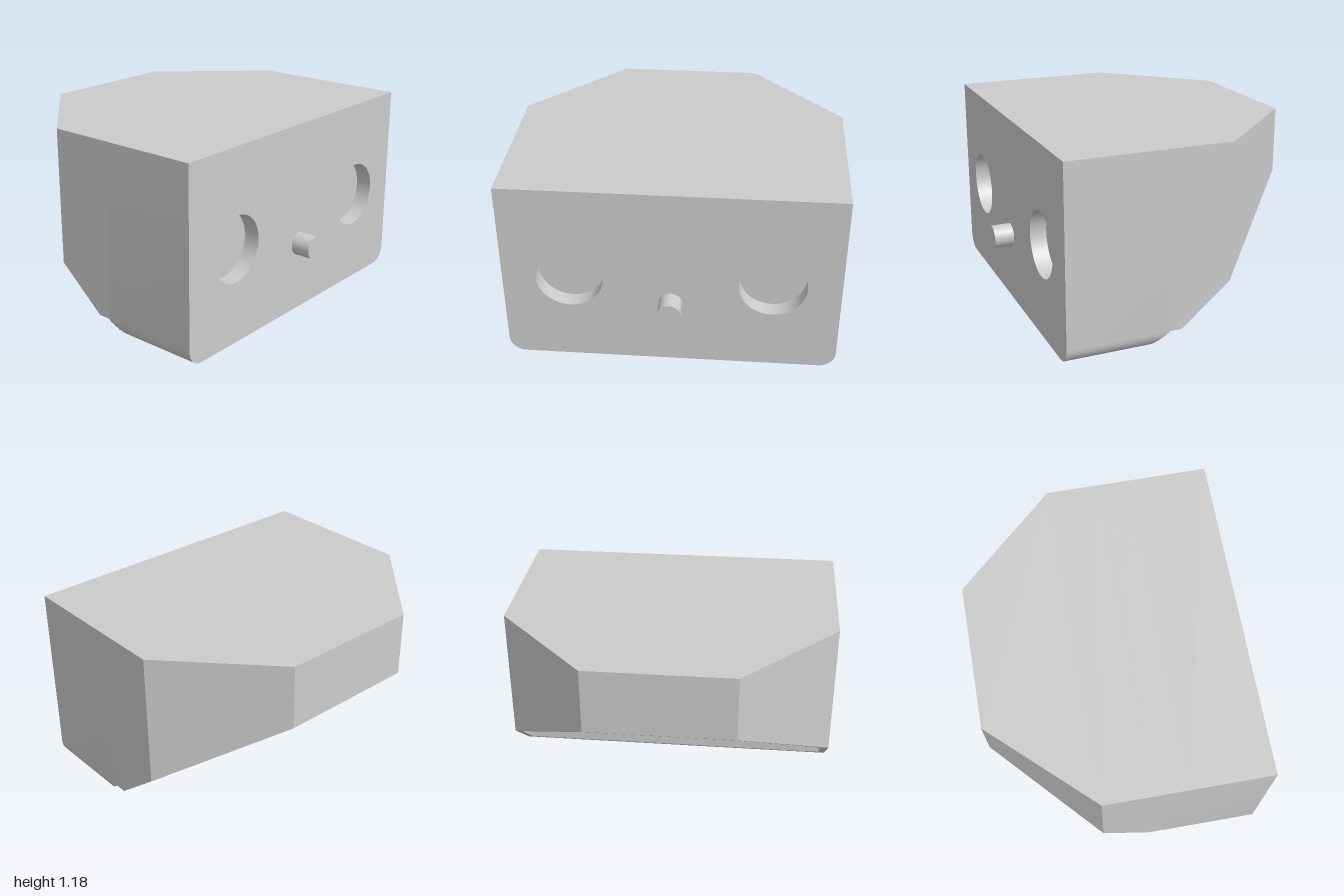
import * as THREE from 'three';
import { toCreasedNormals } from 'three/addons/utils/BufferGeometryUtils.js';

const TOP = 1.18, FACE = 0.74, ROUND = 0.1;
const POCKET = { r: 0.2, y: 0.58, z: 0.6, depth: 0.1 };

// Height of the sloping underside at a given x
function slopeY(x) {
  return x < -0.26 ? 0.35 + (-0.26 - x) * 0.717 : 0.10 + (0.04 - x) * 0.833;
}

// Rounded lower corner as [z, y] points, from the side wall to the base
const corner = [];
for (let i = 0; i <= 8; i++) {
  const a = (i / 8) * Math.PI / 2;
  corner.push([1 - ROUND + ROUND * Math.cos(a), ROUND - ROUND * Math.sin(a)]);
}

// Cross-section of the block at x, with the underside cut off at height cut
function section(x, cut) {
  const half = corner.map(([z, y]) => [x, Math.max(y, cut), z]);
  const other = half.map(([px, y, z]) => [px, y, -z]).reverse();
  return [[x, TOP, 1], ...half, ...other, [x, TOP, -1]];
}

function createShell() {
  const pos = [];
  const quad = (a, b, c, d) => pos.push(...a, ...b, ...c, ...a, ...c, ...d);

  // Straight part: loft with a ramp up to the ledge
  const stations = [section(FACE, 0)];
  for (const [, y] of [...corner].reverse()) stations.push(section(0.24 - 1.3 * y, y));
  stations.push(section(0.04, ROUND));
  for (let s = 0; s + 1 < stations.length; s++) {
    const A = stations[s], B = stations[s + 1];
    for (let i = 0; i < A.length; i++) {
      const j = (i + 1) % A.length;
      quad(B[j], A[j], A[i], B[i]);
    }
  }

  // Tapered part: walls, rim and shallow recess of the sloping underside
  const mirror = (half) => [...half, ...half.map(([x, z]) => [x, -z]).reverse()];
  const outer = mirror([[0.04, 1], [-0.26, 1], [-0.86, 0.44]]);
  const inner = mirror([[0, 0.96], [-0.245, 0.96], [-0.82, 0.42]]);
  const low = ([x, z]) => [x, slopeY(x), z];
  const deep = ([x, z]) => [x, slopeY(x) + 0.08, z];
  const high = ([x, z]) => [x, TOP, z];
  for (let i = 0; i < 6; i++) {
    const j = (i + 1) % 6;
    const p = outer[i], q = outer[j], pi = inner[i], qi = inner[j];
    if (i < 5) quad(low(q), low(p), high(p), high(q));
    quad(low(qi), low(pi), low(p), low(q));
    quad(low(pi), low(qi), deep(qi), deep(pi));
  }
  for (const i of [0, 1]) {
    quad(high(outer[i + 1]), high(outer[i]), high(outer[5 - i]), high(outer[4 - i]));
    quad(deep(inner[4 - i]), deep(inner[5 - i]), deep(inner[i]), deep(inner[i + 1]));
  }

  const geo = new THREE.BufferGeometry();
  geo.setAttribute('position', new THREE.Float32BufferAttribute(pos, 3));
  return toCreasedNormals(geo, 0.5);
}

// Flat face with two round openings
function createFace() {
  const shape = new THREE.Shape();
  shape.moveTo(1, TOP);
  shape.lineTo(-1, TOP);
  for (const [z, y] of corner) shape.lineTo(-z, y);
  for (const [z, y] of [...corner].reverse()) shape.lineTo(z, y);
  shape.closePath();
  for (const s of [-1, 1]) {
    const hole = new THREE.Path();
    hole.absarc(s * POCKET.z, POCKET.y, POCKET.r, 0, Math.PI * 2, true);
    shape.holes.push(hole);
  }
  return new THREE.ShapeGeometry(shape, 24).rotateY(Math.PI / 2).translate(FACE, 0, 0);
}

export function createModel() {
  const group = new THREE.Group();
  const material = new THREE.MeshStandardMaterial({ color: 0xcccccc, side: THREE.DoubleSide });
  const add = (name, geo, x = 0, y = 0, z = 0) => {
    const mesh = new THREE.Mesh(geo, material);
    mesh.name = name;
    mesh.position.set(x, y, z);
    group.add(mesh);
  };

  add('bodyShell', createShell());
  add('connectionFace', createFace());

  // Blind round pockets
  for (const s of [-1, 1]) {
    const side = s > 0 ? 'front' : 'back';
    const wall = new THREE.CylinderGeometry(POCKET.r, POCKET.r, POCKET.depth, 48, 1, true);
    add(side + 'PocketWall', wall.rotateZ(Math.PI / 2), FACE - POCKET.depth / 2, POCKET.y, s * POCKET.z);
    const floor = new THREE.CircleGeometry(POCKET.r, 48).rotateY(Math.PI / 2);
    add(side + 'PocketFloor', floor, FACE - POCKET.depth, POCKET.y, s * POCKET.z);
  }

  // Short pin between the pockets
  add('pin', new THREE.CylinderGeometry(0.07, 0.07, 0.12, 32).rotateZ(Math.PI / 2), FACE + 0.06, 0.43, 0);
  return group;
}
